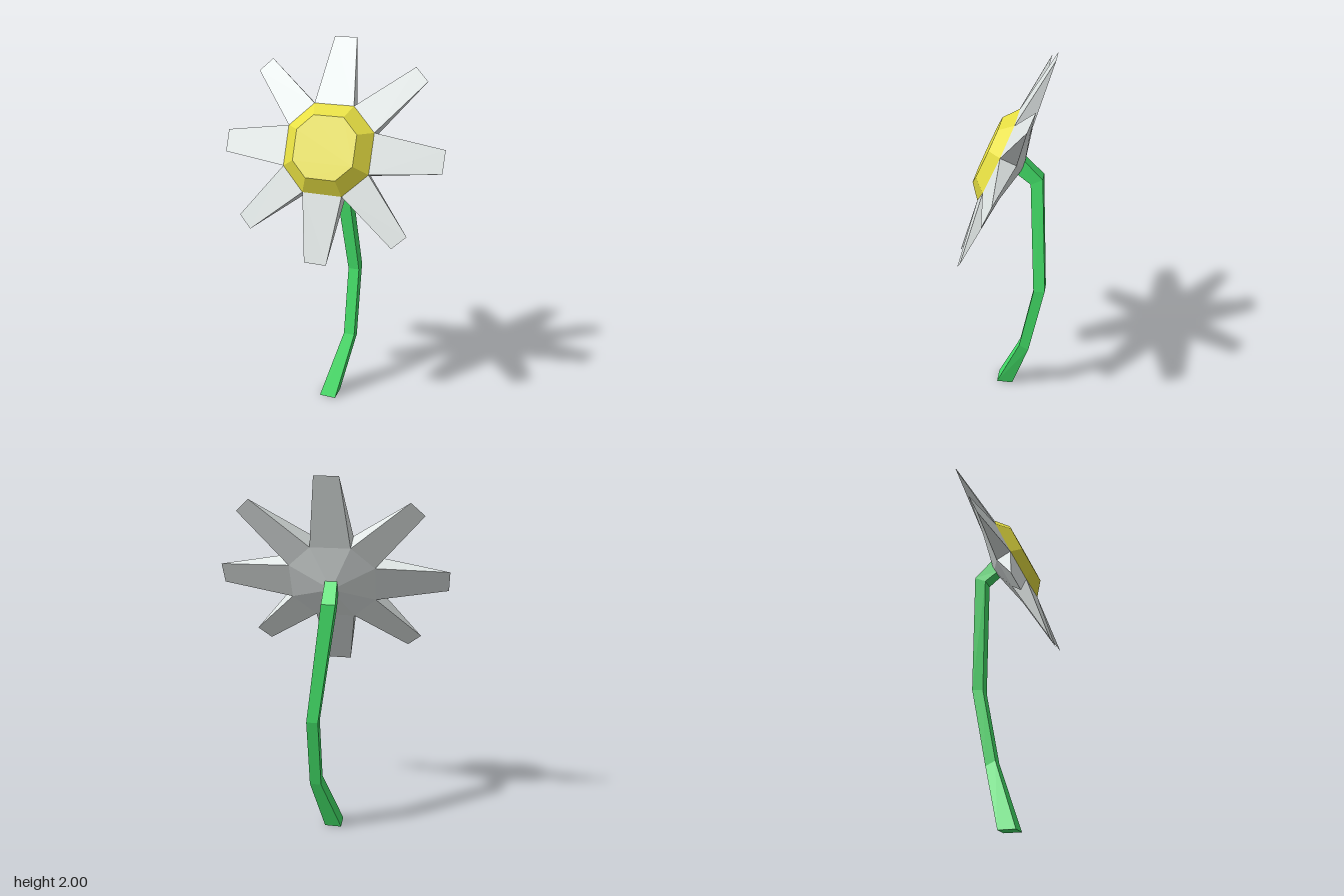
import * as THREE from 'three';

const white = new THREE.MeshStandardMaterial({ color: 0xe4eae9 });
white.name = 'petal white';
const yellow = new THREE.MeshStandardMaterial({ color: 0xe6de42 });
yellow.name = 'centre yellow';
const green = new THREE.MeshStandardMaterial({ color: 0x44e269 });
green.name = 'stem green';
for (const m of [white, yellow, green]) m.flatShading = true;

// Faceted mesh from convex polygons, corners counter-clockwise from outside
function facets(name, material, polygons) {
  const pos = [];
  for (const p of polygons)
    for (let i = 1; i < p.length - 1; i++) pos.push(...p[0], ...p[i], ...p[i + 1]);
  const geometry = new THREE.BufferGeometry();
  geometry.setAttribute('position', new THREE.Float32BufferAttribute(pos, 3));
  geometry.computeVertexNormals();
  const mesh = new THREE.Mesh(geometry, material);
  mesh.name = name;
  return mesh;
}

// Eight-sided ring: a = distance to the main sides, s = half their length
const octagon = (a, s, z) => [
  [a, -s, z], [a, s, z], [s, a, z], [-s, a, z],
  [-a, s, z], [-a, -s, z], [-s, -a, z], [s, -a, z],
];

function createHead() {
  const head = new THREE.Group();
  head.name = 'flowerHead';
  const front = octagon(0.226, 0.104, 0.04);
  const rim = octagon(0.157, 0.078, 0.1);
  const back = octagon(0.215, 0.1, -0.045);
  const centre = [rim];
  const base = [];

  for (let i = 0; i < 8; i++) {
    const j = (i + 1) % 8;
    centre.push([front[i], front[j], rim[j], rim[i]]);
    base.push([[0, 0, -0.1], back[j], back[i]]);

    // Petal: wedge from the ring edge to a thin blunt tip
    const angle = (i * Math.PI) / 4;
    const c = Math.cos(angle), s = Math.sin(angle);
    const r = i % 2 ? 0.585 : 0.578, w = i % 2 ? 0.048 : 0.059;
    const tipA = [c * r + s * w, s * r - c * w, 0];
    const tipB = [c * r - s * w, s * r + c * w, 0];
    head.add(facets('petal' + (i + 1), white, [
      [front[i], tipA, tipB, front[j]],
      [back[j], tipB, tipA, back[i]],
      [front[i], back[i], tipA],
      [front[j], tipB, back[j]],
    ]));
  }
  head.add(facets('flowerCentre', yellow, centre));
  head.add(facets('flowerBack', white, base));
  head.position.y = 1.4725;
  head.rotation.x = -Math.atan2(0.47, 1.055);
  return head;
}

function createStem() {
  // Each ring: left x, right x, front edge y and z, back edge y and z
  const rings = [
    [-0.048, 0.045, 0, 0.047, 0, -0.045],
    [0.05, 0.112, 0.36, -0.092, 0.335, -0.145],
    [0.05, 0.111, 0.745, -0.165, 0.755, -0.226],
    [-0.035, 0.036, 1.355, -0.13, 1.385, -0.19],
    [-0.03, 0.03, 1.41, -0.055, 1.488, -0.088],
  ].map(([l, r, fy, fz, by, bz]) => [[l, fy, fz], [r, fy, fz], [r, by, bz], [l, by, bz]]);
  const faces = [[...rings[0]].reverse(), rings[rings.length - 1]];
  for (let k = 0; k < rings.length - 1; k++)
    for (let i = 0; i < 4; i++) {
      const j = (i + 1) % 4;
      faces.push([rings[k][i], rings[k][j], rings[k + 1][j], rings[k + 1][i]]);
    }
  return facets('stem', green, faces);
}

export function createModel() {
  const flower = new THREE.Group();
  flower.name = 'flower';
  flower.add(createHead(), createStem());
  return flower;
}
